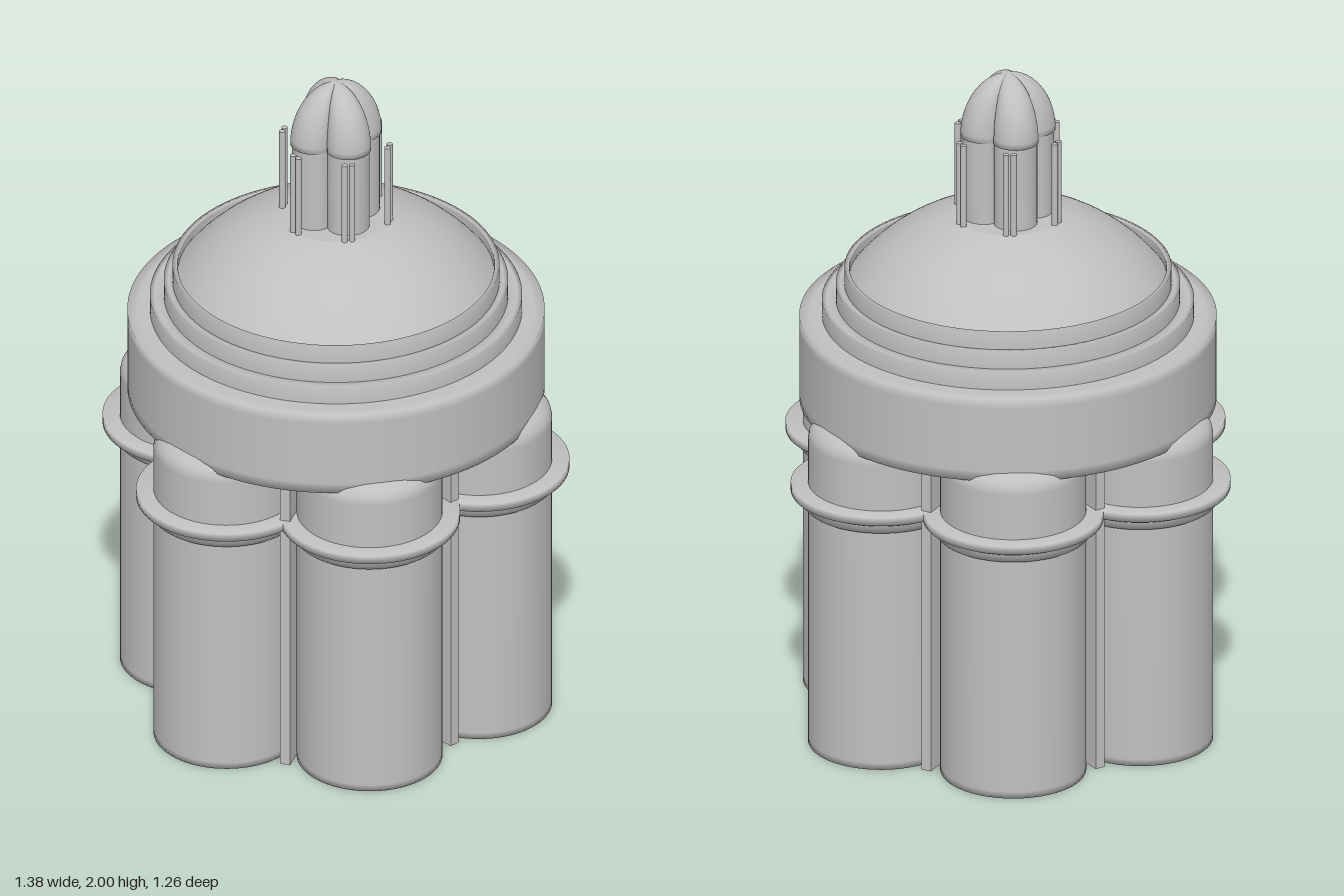
import * as THREE from 'three';

export function createModel() {
  const model = new THREE.Group();
  const stone = new THREE.MeshStandardMaterial({ color: 0xc0c0c0, side: THREE.DoubleSide });
  stone.name = 'grey stone';

  const add = (name, geometry, parent = model) => {
    const mesh = new THREE.Mesh(geometry, stone);
    mesh.name = name;
    parent.add(mesh);
    return mesh;
  };
  const lathe = (points, segments, start = 0, sweep = Math.PI * 2) =>
    new THREE.LatheGeometry(points.map(([r, y]) => new THREE.Vector2(r, y)), segments, start, sweep);
  // partial lathe centred on the +x direction
  const arc = (points, half) => lathe(points, 56, Math.PI / 2 - half, half * 2);

  // six hollow round bays with a moulded belt, and pilasters in the valleys
  const wall = arc([[0.17, 0.97], [0.17, 0.02], [0.17, 0], [0.21, 0], [0.21, 0.02], [0.21, 0.955],
    [0.206, 0.975], [0.195, 0.992], [0.175, 1.006], [0.14, 1.014], [0, 1.015]], Math.PI * 2 / 3);
  const belt = arc([[0.19, 0.75], [0.222, 0.75], [0.222, 0.77], [0.23, 0.775], [0.23, 0.79],
    [0.26, 0.79], [0.26, 0.815], [0.19, 0.815]], Math.PI * 0.6);
  for (let i = 0; i < 6; i++) {
    const bay = new THREE.Group();
    bay.name = 'bay';
    bay.rotation.y = i * Math.PI / 3;
    model.add(bay);
    add('bayWall', wall, bay).position.x = 0.43;
    add('bayBelt', belt, bay).position.x = 0.43;

    const valley = new THREE.Group();
    valley.name = 'valley';
    valley.rotation.y = (i + 0.5) * Math.PI / 3;
    model.add(valley);
    add('pilaster', new THREE.BoxGeometry(0.15, 0.98, 0.03), valley).position.set(0.425, 0.49, 0);
  }

  // drum and stepped rings
  add('drum', lathe([[0, 0.98], [0.57, 0.98], [0.6, 0.98], [0.6, 1.01], [0.6, 1.21], [0.6, 1.24],
    [0.57, 1.24], [0.5, 1.24]], 96));
  [[0.535, 1.24, 1.29], [0.495, 1.29, 1.34], [0.47, 1.34, 1.39]].forEach(([r, low, high]) =>
    add('stepRing', lathe([[r, low - 0.01], [r, high], [r - 0.013, high], [0.455, high - 0.005],
      [0.455, low - 0.01]], 96)));

  // shallow dome with a flat crown
  const dome = [];
  for (let i = 0; i <= 20; i++) {
    const a = THREE.MathUtils.lerp(0.92, 0.285, i / 20);
    dome.push([0.577 * Math.sin(a), 1.006 + 0.577 * Math.cos(a)]);
  }
  add('dome', lathe(dome, 96));
  const crown = add('domeCrown', new THREE.CircleGeometry(0.163, 64));
  crown.rotation.x = -Math.PI / 2;
  crown.position.y = 1.559;

  // lantern with a clover-shaped plan: lobes on the diagonals, notches on the axes
  const clover = (points) => {
    const g = lathe(points, 128);
    const p = g.attributes.position;
    for (let i = 0; i < p.count; i++) {
      const x = p.getX(i), z = p.getZ(i);
      const f = 0.088 + 0.052 * Math.pow(Math.abs(Math.sin(2 * Math.atan2(z, x))), 0.75);
      p.setX(i, x * f);
      p.setZ(i, z * f);
    }
    g.computeVertexNormals();
    return g;
  };
  add('lanternBody', clover([[0.96, 1.55], [0.96, 1.82]]));
  const cap = [[0.9, 1.815], [1, 1.815]];
  for (let i = 1; i <= 16; i++) {
    const a = (i / 16) * Math.PI / 2;
    cap.push([Math.max(Math.cos(a), 0.0001), 1.815 + 0.185 * Math.sin(a)]);
  }
  add('lanternCap', clover(cap));

  // six pairs of slender rods around the lantern
  const rod = new THREE.CylinderGeometry(0.009, 0.009, 0.26, 16);
  for (let i = 0; i < 6; i++) {
    const pair = new THREE.Group();
    pair.name = 'rodPair';
    pair.rotation.y = i * Math.PI / 3;
    model.add(pair);
    for (const side of [-1, 1]) add('rod', rod, pair).position.set(0.158, 1.683, side * 0.011);
  }
  return model;
}
